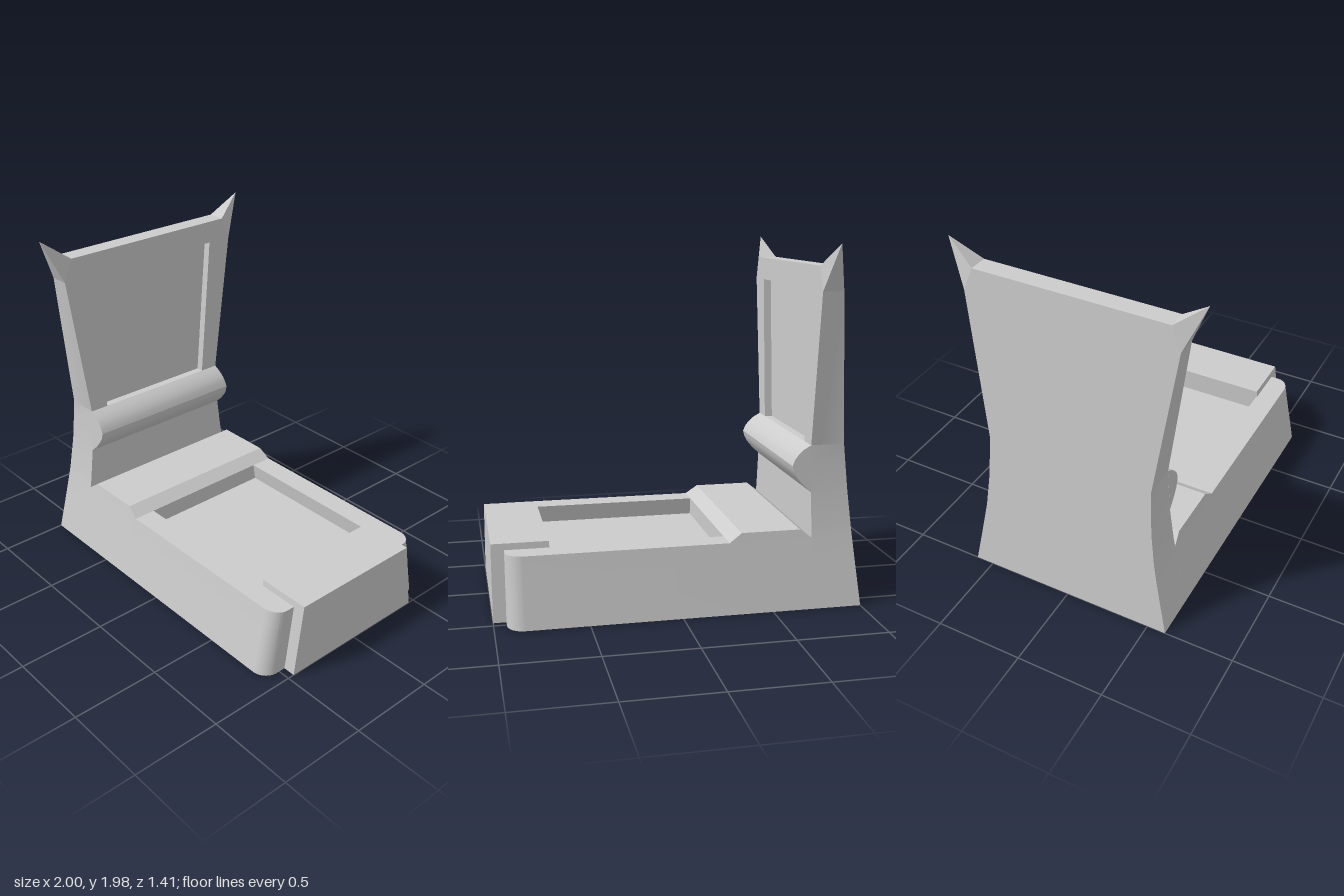
import * as THREE from 'three';
import { toCreasedNormals } from 'three/addons/utils/BufferGeometryUtils.js';

const FRONT = -0.735, RECESS = 0.045, RIM = 0.38, FLOOR = 0.28;
const backX = (y) => -1 + 0.086 * y;

// Half-width of the whole chair at height y
const WIDTHS = [[0, 0.606], [0.2, 0.565], [0.38, 0.53], [0.43, 0.521], [0.63, 0.496],
  [0.78, 0.487], [0.89, 0.482], [1.73, 0.597], [1.86, 0.545]];
function halfWidth(y) {
  let i = 1;
  while (i < WIDTHS.length - 1 && y > WIDTHS[i][0]) i++;
  const [y0, w0] = WIDTHS[i - 1], [y1, w1] = WIDTHS[i];
  return w0 + (w1 - w0) * (y - y0) / (y1 - y0);
}

// Solid from rectangular sections [y, xBack, xFront, halfWidth], bottom to top
function loft(sections) {
  const pos = [], idx = [];
  for (const [y, a, b, w] of sections) pos.push(a, y, w, b, y, w, b, y, -w, a, y, -w);
  const n = sections.length;
  for (let s = 0; s < n - 1; s++) {
    for (let i = 0; i < 4; i++) {
      const p = s * 4 + i, q = s * 4 + (i + 1) % 4;
      idx.push(p, q, q + 4, p, q + 4, p + 4);
    }
  }
  const t = (n - 1) * 4;
  idx.push(0, 2, 1, 0, 3, 2, t, t + 1, t + 2, t, t + 2, t + 3);
  const g = new THREE.BufferGeometry();
  g.setAttribute('position', new THREE.Float32BufferAttribute(pos, 3));
  g.setIndex(idx);
  return g;
}

function moveVertices(g, rule) {
  const p = g.attributes.position, v = new THREE.Vector3();
  for (let i = 0; i < p.count; i++) {
    rule(v.fromBufferAttribute(p, i));
    p.setXYZ(i, v.x, v.y, v.z);
  }
  return g;
}

const polygon = (pts) => new THREE.Shape(pts.map(([x, y]) => new THREE.Vector2(x, y)));
const extrude = (shape, depth) =>
  new THREE.ExtrudeGeometry(shape, { depth, bevelEnabled: false, curveSegments: 10 });

// Side profile spanning the chair's full width
const crossBar = (pts) => moveVertices(extrude(polygon(pts), 1), (v) => {
  v.z = (v.z > 0.5 ? 1 : -1) * halfWidth(v.y);
});

// Plan of the base with rounded front corners, tapered between two heights
function baseLayer(y0, y1, hole) {
  const w = halfWidth(0), r = 0.09, x1 = 0.93;
  const s = new THREE.Shape();
  s.moveTo(FRONT, -w);
  s.lineTo(x1 - r, -w);
  s.absarc(x1 - r, -w + r, r, -Math.PI / 2, 0, false);
  s.absarc(x1 - r, w - r, r, 0, Math.PI / 2, false);
  s.lineTo(FRONT, w);
  if (hole) {
    const h = 0.4 * w / halfWidth(RIM);
    s.holes.push(polygon([[-0.27, -h], [-0.27, h], [0.69, h], [0.69, -h]]));
  }
  const g = extrude(s, y1 - y0).rotateX(-Math.PI / 2).translate(0, y0, 0);
  return moveVertices(g, (v) => { v.z *= halfWidth(v.y) / w; });
}

export function createModel() {
  const group = new THREE.Group();
  const material = new THREE.MeshStandardMaterial({ color: 0xcccccc });
  const add = (name, geometry) => {
    const flat = geometry.index ? geometry.toNonIndexed() : geometry;
    const mesh = new THREE.Mesh(toCreasedNormals(flat, 0.5), material);
    mesh.name = name;
    group.add(mesh);
  };

  // Base with a sunken seat
  add('baseSlab', baseLayer(0, FLOOR, false));
  add('seatRim', baseLayer(FLOOR, RIM, true));
  add('seatStep', crossBar([[FRONT, RIM], [-0.27, RIM], [-0.34, 0.43], [-0.67, 0.43]]));
  add('frontBlock', loft([[0, 0.69, 1, 0.462], [0.415, 0.69, 1, 0.4]]));

  // Backrest: solid rear, thinner behind the recessed panel
  const lower = [0, 0.2, 0.38, 0.43, 0.53, 0.63, 0.78, 0.89];
  const upper = [0.89, 1.73, 1.86];
  add('backrest', loft([
    ...lower.map((y) => [y, backX(y), FRONT, halfWidth(y)]),
    ...upper.map((y) => [y, backX(y), FRONT - RECESS, halfWidth(y)]),
  ]));

  // Frame around the recessed panel
  const half = [[0.545, 1.86], [0.597, 1.73], [0.482, 0.89], [0.37, 0.89], [0.445, 1.73]];
  const mirrored = half.map(([z, y]) => [-z, y]).reverse();
  add('backrestFrame', extrude(polygon([...half, ...mirrored]), RECESS)
    .rotateY(Math.PI / 2).translate(FRONT - RECESS, 0, 0));

  // Lumbar roll
  add('lumbarRoll', crossBar([[FRONT, 0.63], [-0.69, 0.672], [-0.655, 0.715], [-0.638, 0.747],
    [-0.63, 0.78], [-0.645, 0.815], [-0.665, 0.84], [-0.695, 0.867], [FRONT, 0.89]]));

  // Pointed horns on the top corners
  for (const side of [1, -1]) {
    const corner = (x, y) => [x, y, side * halfWidth(y)];
    const ring = [corner(FRONT, 1.73), corner(FRONT, 1.86),
      corner(backX(1.86), 1.86), corner(backX(1.73), 1.73)];
    if (side < 0) ring.reverse();
    const tip = [-0.79, 1.98, side * 0.705];
    const pos = ring.flatMap((p, i) => [...p, ...ring[(i + 1) % 4], ...tip]);
    const g = new THREE.BufferGeometry();
    g.setAttribute('position', new THREE.Float32BufferAttribute(pos, 3));
    add(side > 0 ? 'frontHorn' : 'rearHorn', g);
  }
  return group;
}
